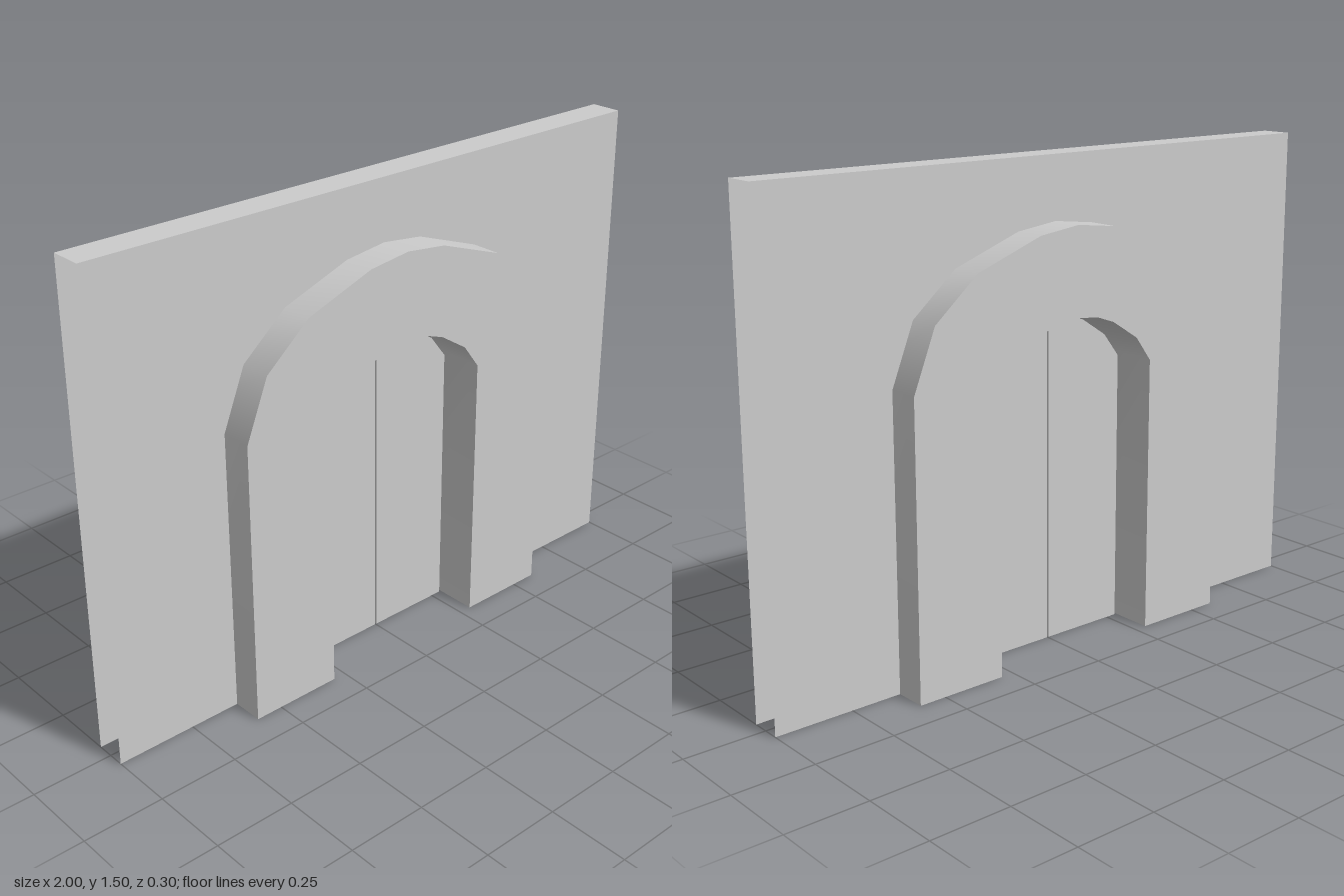
import * as THREE from 'three';
import { toCreasedNormals } from 'three/addons/utils/BufferGeometryUtils.js';

const material = new THREE.MeshStandardMaterial({ color: 0xcccccc, side: THREE.DoubleSide });

// Right half of each arch profile, from the floor up to the crown
const OUTER = [[0.587, 0], [0.587, 0.9], [0.513, 1.085], [0.365, 1.21], [0.14, 1.29], [0, 1.307]];
const INNER = [[0.292, 0], [0.292, 0.868], [0.235, 0.945], [0.14, 1.006], [0.075, 1.029], [0, 1.036]];
const LEAF = [[0.285, 0], [0.285, 0.86], [0.228, 0.934], [0.14, 0.992], [0.075, 1.014], [0.003, 1.022]];

const mirrored = (half) => [...half, ...half.slice(0, -1).reverse().map(([x, y]) => [-x, y])];
const vectors = (points) => points.map(([x, y]) => new THREE.Vector2(x, y));

function addMesh(parent, name, geometry) {
  const mesh = new THREE.Mesh(geometry, material);
  mesh.name = name;
  parent.add(mesh);
  return mesh;
}

// Strip that follows a profile and spans from -depth to +depth in z
function band(points, depth) {
  const positions = [];
  for (let i = 0; i < points.length - 1; i++) {
    const [ax, ay] = points[i];
    const [bx, by] = points[i + 1];
    positions.push(
      ax, ay, depth, ax, ay, -depth, bx, by, -depth,
      ax, ay, depth, bx, by, -depth, bx, by, depth
    );
  }
  const geometry = new THREE.BufferGeometry();
  geometry.setAttribute('position', new THREE.Float32BufferAttribute(positions, 3));
  geometry.computeVertexNormals();
  return toCreasedNormals(geometry, 0.65);
}

// Matching flat faces at the front and back
function addFaces(parent, name, points, depth) {
  const geometry = new THREE.ShapeGeometry(new THREE.Shape(vectors(points)));
  addMesh(parent, name + 'Front', geometry).position.z = depth;
  const back = addMesh(parent, name + 'Back', geometry);
  back.position.z = -depth;
  back.rotation.y = Math.PI;
}

export function createModel() {
  const model = new THREE.Group();
  model.name = 'archedDoorway';

  const outer = mirrored(OUTER);
  const inner = mirrored(INNER);

  // Wall: two panels around the doorway and a top strip, open at the ends and below
  const wall = new THREE.Group();
  wall.name = 'wall';
  const opening = inner.map(([x, y]) => [x * 1.1, y * 1.03]);
  addFaces(wall, 'wallPanel', [[1, 0], [1, 1.5], [-1, 1.5], [-1, 0], ...opening.reverse()], 0.05);
  addMesh(wall, 'wallTop', band([[1, 1.5], [-1, 1.5]], 0.05));
  model.add(wall);

  // Thick arch surround, open below
  const arch = new THREE.Group();
  arch.name = 'archSurround';
  const innerReversed = [...inner].reverse();
  addFaces(arch, 'archFace', [...outer, ...innerReversed], 0.15);
  addMesh(arch, 'archOuterBand', band(outer, 0.15));
  addMesh(arch, 'archInnerBand', band(innerReversed, 0.15));
  model.add(arch);

  // Pair of thin door leaves meeting at the middle
  for (const [name, side] of [['leftDoorLeaf', 1], ['rightDoorLeaf', -1]]) {
    const points = [...LEAF, [0.003, 0]].map(([x, y]) => [x * side, y]);
    const geometry = new THREE.ExtrudeGeometry(new THREE.Shape(vectors(points)), { depth: 0.03, bevelEnabled: false });
    addMesh(model, name, geometry).position.z = -0.015;
  }

  return model;
}
